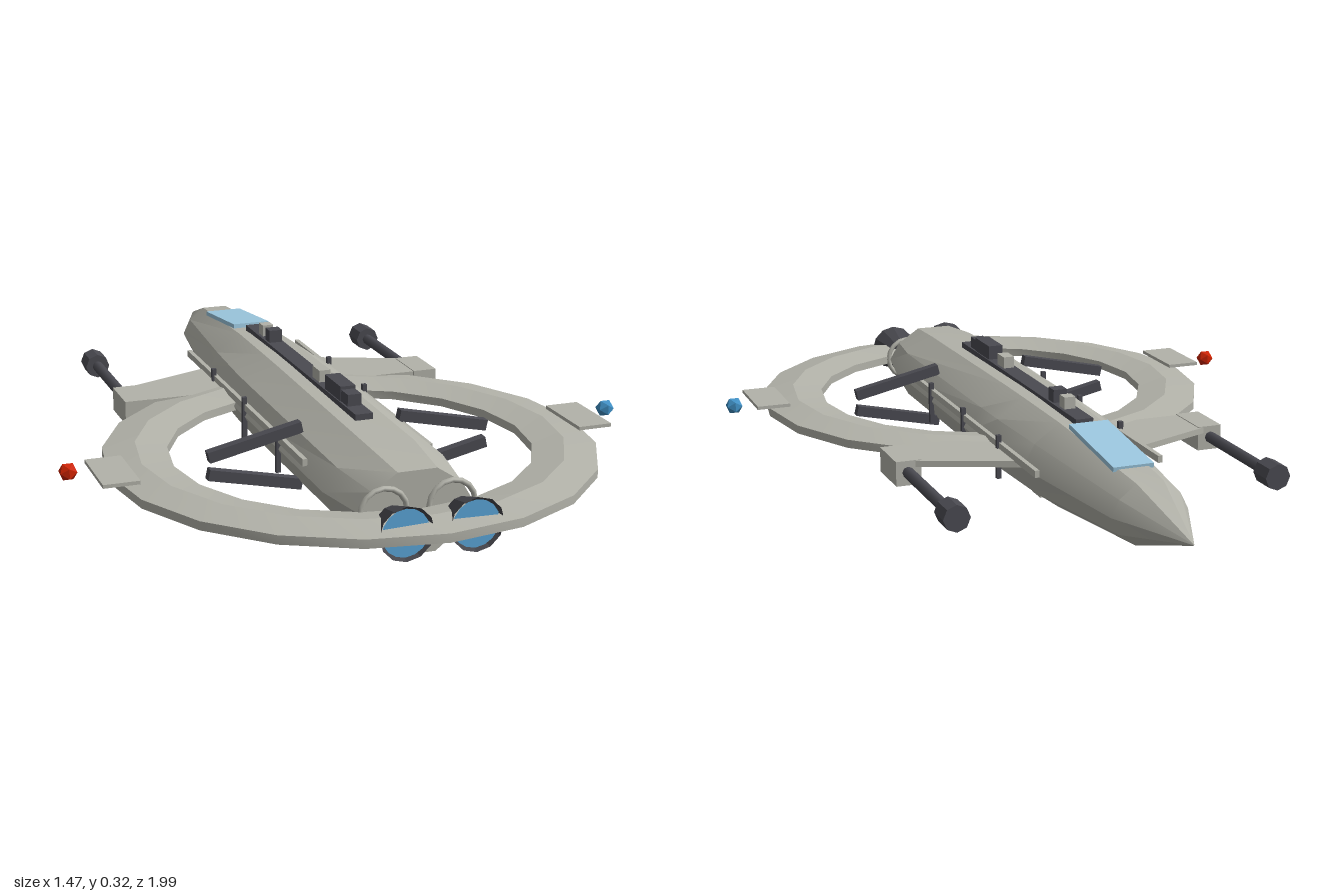
import * as THREE from 'three';
import { toCreasedNormals } from 'three/addons/utils/BufferGeometryUtils.js';

const mat = (name, color, extra = {}) => {
  const m = new THREE.MeshStandardMaterial({ color, ...extra });
  m.name = name;
  return m;
};

export function createModel() {
  const group = new THREE.Group();
  const hullGrey = mat('hull grey', 0xb2b2a9);
  const darkMetal = mat('dark metal', 0x4a4a51);
  const nozzleMetal = mat('nozzle metal', 0x45454b, { side: THREE.DoubleSide });
  const canopyBlue = mat('canopy blue', 0x9cc8e0);
  const engineBlue = mat('engine blue', 0x5aa5d8);
  const lampBlue = mat('lamp blue', 0x3f8fc4);
  const lampRed = mat('lamp red', 0xcc2200);
  const MID = 0.165; // height of the ship's centre line

  const add = (name, geo, material, x = 0, y = 0, z = 0) => {
    const mesh = new THREE.Mesh(geo, material);
    mesh.name = name;
    mesh.position.set(x, y, z);
    group.add(mesh);
    return mesh;
  };
  // Box given by its limits along each axis
  const span = (name, material, [x0, x1], [y0, y1], [z0, z1]) =>
    add(name, new THREE.BoxGeometry(x1 - x0, y1 - y0, z1 - z0), material,
      (x0 + x1) / 2, (y0 + y1) / 2, (z0 + z1) / 2);
  const flat = (geo, angle = 0.3) => toCreasedNormals(geo, angle);

  // Hull: ten-sided sections [z, half width, top, bottom] from stern to nose
  const sections = [
    [0.8, 0.14, 0.255, 0.05], [0.64, 0.17, 0.268, 0.05], [0, 0.17, 0.277, 0.05],
    [-0.12, 0.168, 0.277, 0.05], [-0.35, 0.152, 0.272, 0.05],
    [-0.77, 0.098, 0.24, 0.09], [-1, 0.001, 0.166, 0.164],
  ];
  const outline = [[0.35, 1], [0.79, 0.55], [1, 0], [0.79, -0.58], [0.35, -1]];
  const loop = [...outline, ...outline.slice().reverse().map(([x, y]) => [-x, y])];
  const n = loop.length;
  const pos = [], idx = [];
  for (const [z, w, top, bottom] of sections)
    for (const [x, y] of loop)
      pos.push(x * w, MID + y * (y > 0 ? top - MID : MID - bottom), z);
  for (let i = 0; i < sections.length - 1; i++)
    for (let j = 0; j < n; j++) {
      const a = i * n + j, b = i * n + (j + 1) % n;
      idx.push(a, b, a + n, b, b + n, a + n);
    }
  for (let j = 1; j < n - 1; j++) idx.push(0, j + 1, j); // stern cap
  const hullGeo = new THREE.BufferGeometry();
  hullGeo.setAttribute('position', new THREE.Float32BufferAttribute(pos, 3));
  hullGeo.setIndex(idx);
  add('hull', flat(hullGeo, 0.45), hullGrey);

  // Ring wing with a flattened six-sided section
  const ringProfile = [[0.617, -0.011], [0.617, 0.011], [0.535, 0.026], [0.455, 0.011],
    [0.455, -0.011], [0.535, -0.026], [0.617, -0.011]].map(p => new THREE.Vector2(...p));
  add('ringWing', flat(new THREE.LatheGeometry(ringProfile, 20), 0.35), hullGrey, 0, MID - 0.002, 0.375);

  // Canopy plate sloping down to the nose
  const canopy = add('canopy', new THREE.BoxGeometry(0.104, 0.012, 0.272), canopyBlue, 0, 0.263, -0.543);
  canopy.rotation.x = -0.115;

  // Dorsal spine and its equipment
  span('spine', darkMetal, [-0.023, 0.023], [0.268, 0.286], [-0.385, 0.47]);
  span('spineTurret', darkMetal, [-0.02, 0.02], [0.285, 0.324], [0.25, 0.36]);
  span('spineTurretRear', darkMetal, [-0.018, 0.018], [0.285, 0.316], [0.36, 0.405]);
  span('spineBlock', darkMetal, [-0.018, 0.018], [0.285, 0.32], [-0.225, -0.19]);
  span('spineSensorRear', hullGrey, [-0.015, 0.015], [0.285, 0.317], [0.145, 0.195]);
  span('spineSensorFront', hullGrey, [-0.015, 0.015], [0.285, 0.317], [-0.29, -0.258]);

  // Belly equipment
  span('bellyStrip', hullGrey, [-0.013, 0.013], [0.031, 0.04], [-0.13, 0.23]);
  span('bellyRearBlock', hullGrey, [-0.016, 0.016], [0.015, 0.04], [0.11, 0.23]);
  span('bellyDarkBlock', darkMetal, [-0.016, 0.016], [0.008, 0.037], [-0.015, 0.11]);
  span('bellyFrontBlock', hullGrey, [-0.016, 0.016], [0, 0.04], [-0.13, -0.07]);

  for (const s of [-1, 1]) {
    const side = s > 0 ? 'left' : 'right';

    // Gun wing, pod, barrel and muzzle
    const wing = new THREE.Shape([[0.12, -0.36], [0.165, -0.345], [0.4, -0.25], [0.4, -0.12], [0.12, -0.12]]
      .map(([x, z]) => new THREE.Vector2(s * x, z)));
    const wingGeo = new THREE.ExtrudeGeometry(wing, { depth: 0.016, bevelEnabled: false });
    wingGeo.rotateX(Math.PI / 2);
    add(side + 'GunWing', wingGeo, hullGrey, 0, 0.183, 0);
    add(side + 'GunPod', new THREE.BoxGeometry(0.066, 0.064, 0.135), hullGrey, s * 0.416, 0.153, -0.183);
    const barrel = new THREE.CylinderGeometry(0.015, 0.015, 0.34, 8).rotateX(Math.PI / 2);
    add(side + 'GunBarrel', barrel, darkMetal, s * 0.418, 0.155, -0.4);
    const muzzle = new THREE.CylinderGeometry(0.034, 0.034, 0.065, 8).rotateX(Math.PI / 2);
    add(side + 'GunMuzzle', flat(muzzle), darkMetal, s * 0.418, 0.155, -0.588);

    // Diagonal struts above and below the centre line
    for (const v of [-1, 1]) {
      const a = new THREE.Vector2(s * 0.13, v * 0.075), b = new THREE.Vector2(s * 0.37, v * 0.022);
      const strut = add(side + (v > 0 ? 'Upper' : 'Lower') + 'Strut',
        new THREE.BoxGeometry(a.distanceTo(b), 0.028, 0.025), darkMetal,
        (a.x + b.x) / 2, MID + (a.y + b.y) / 2, 0.375);
      strut.rotation.z = Math.atan2(b.y - a.y, b.x - a.x);
    }

    // Side rail and upright rods along the hull
    add(side + 'Rail', new THREE.BoxGeometry(0.012, 0.018, 0.98), hullGrey, s * 0.164, 0.19, 0.01);
    for (const z of [0.315, 0.045, -0.225])
      add(side + 'Rod', new THREE.BoxGeometry(0.012, 0.115, 0.012), darkMetal, s * 0.169, 0.16, z);

    // Ring pad and navigation lamp
    add(side + 'RingPad', new THREE.BoxGeometry(0.09, 0.009, 0.185), hullGrey, s * 0.617, 0.193, 0.413);
    add(side + 'Lamp', new THREE.IcosahedronGeometry(0.024, 0), s > 0 ? lampBlue : lampRed, s * 0.715, 0.192, 0.375);

    // Engine collar, nozzle and glow
    add(side + 'EngineCollar', new THREE.TorusGeometry(0.058, 0.007, 6, 16), hullGrey, s * 0.085, MID, 0.806);
    const nozzle = new THREE.CylinderGeometry(0.066, 0.036, 0.09, 12, 1, true).rotateX(Math.PI / 2);
    add(side + 'Nozzle', flat(nozzle), nozzleMetal, s * 0.085, MID, 0.9);
    const back = new THREE.CircleGeometry(0.036, 12).rotateZ(Math.PI / 2);
    add(side + 'NozzleBack', back, nozzleMetal, s * 0.085, MID, 0.856);
    add(side + 'EngineGlow', new THREE.CircleGeometry(0.058, 16), engineBlue, s * 0.085, MID, 0.937);
  }
  return group;
}
